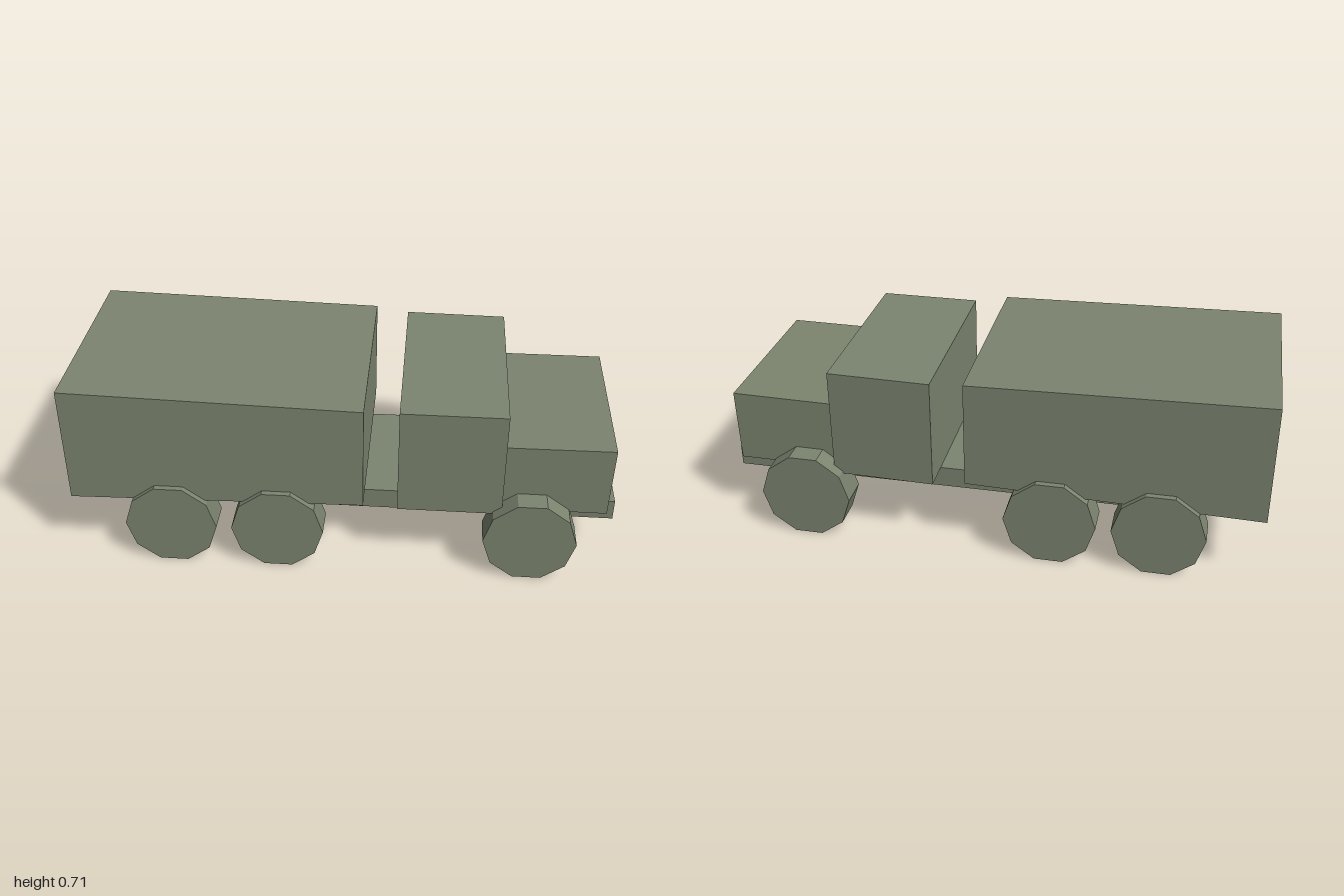
import * as THREE from 'three';

const paint = new THREE.MeshStandardMaterial({ color: 0x7c8570, flatShading: true });

// Box lofted between a rear and a front section, each [x, bottom, top, zMin, zMax]
function block(name, rear, front, topShift = 0) {
  const geo = new THREE.BoxGeometry(1, 1, 1);
  const p = geo.attributes.position;
  for (let i = 0; i < p.count; i++) {
    const s = p.getX(i) < 0 ? rear : front;
    const top = p.getY(i) > 0;
    const lean = top && s === front ? topShift : 0;
    p.setXYZ(i, s[0] + lean, top ? s[2] : s[1], p.getZ(i) < 0 ? s[3] : s[4]);
  }
  geo.computeVertexNormals();
  const mesh = new THREE.Mesh(geo, paint);
  mesh.name = name;
  return mesh;
}

// Ten-sided wheel with a flat tread resting on the ground
function wheel(name, x, zInner, zOuter) {
  const geo = new THREE.CylinderGeometry(0.17, 0.17, Math.abs(zOuter - zInner), 10, 1, false, Math.PI / 2);
  geo.rotateX(Math.PI / 2);
  const mesh = new THREE.Mesh(geo, paint);
  mesh.position.set(x, 0.166, (zInner + zOuter) / 2);
  mesh.name = name;
  return mesh;
}

export function createModel() {
  const truck = new THREE.Group();
  truck.name = 'truck';

  // Frame and bodywork, driving towards +x
  truck.add(
    block('chassis', [-0.94, 0.178, 0.257, -0.262, 0.253], [1, 0.178, 0.257, -0.262, 0.253]),
    block('cargoBox', [-1, 0.26, 0.71, -0.394, 0.386], [0.08, 0.284, 0.685, -0.394, 0.386]),
    block('cab', [0.203, 0.257, 0.67, -0.382, 0.361], [0.582, 0.257, 0.67, -0.372, 0.361]),
    block('hood', [0.582, 0.257, 0.526, -0.337, 0.328], [0.962, 0.257, 0.529, -0.333, 0.328], 0.006)
  );

  // One rear, one middle and one front axle
  const axles = [['rear', -0.63], ['middle', -0.235], ['front', 0.688]];
  for (const [name, x] of axles) {
    truck.add(wheel(name + 'WheelNear', x, 0.293, 0.408));
    truck.add(wheel(name + 'WheelFar', x, -0.299, -0.417));
  }
  return truck;
}
